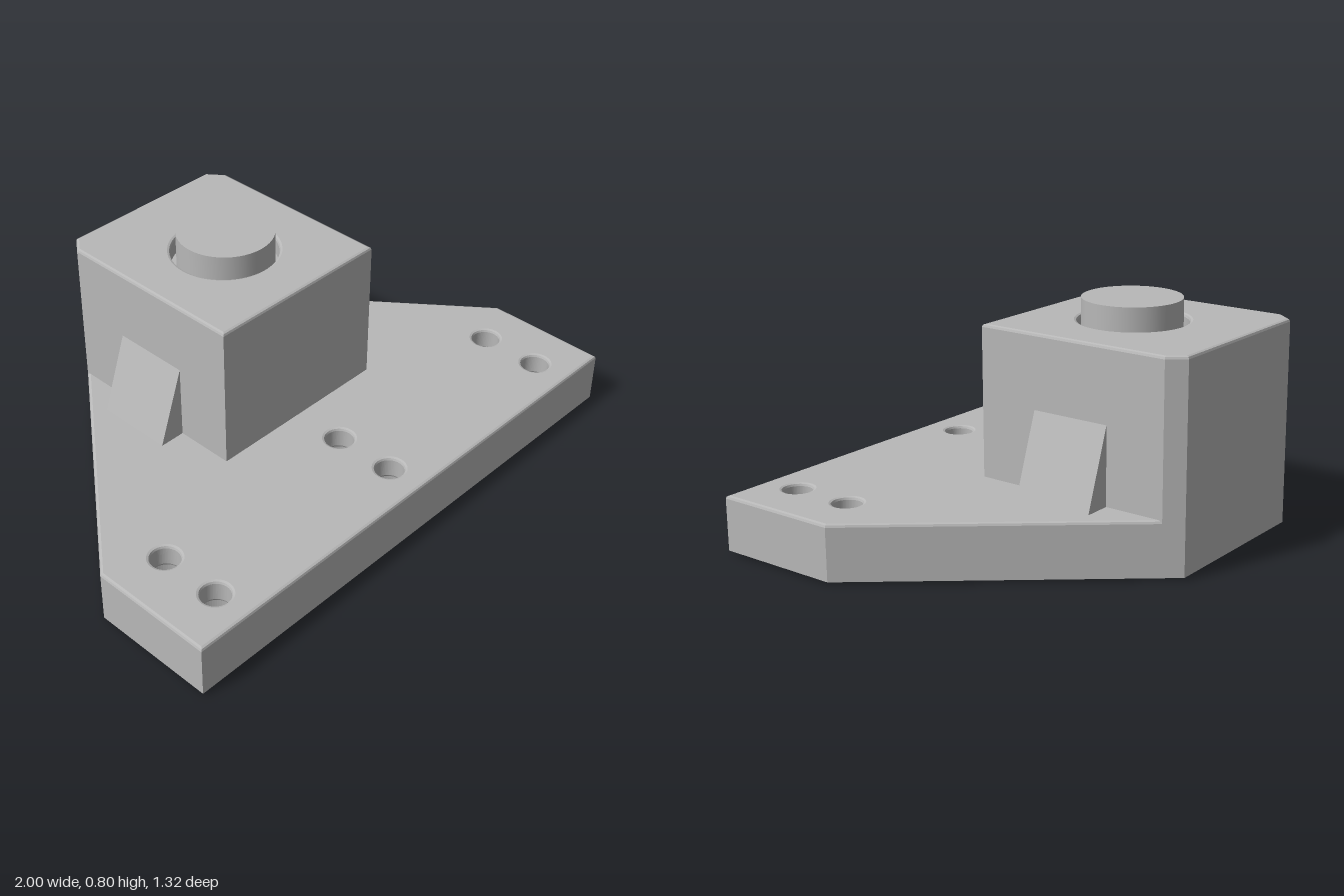
import * as THREE from 'three';

const steel = new THREE.MeshStandardMaterial({ color: 0xb8b8b8, side: THREE.DoubleSide });
steel.name = 'grey';

// Outlines as [x, z] for the right half, mirrored to make the full shape
function outline(half) {
  const left = half.map(([x, z]) => [-x, z]).reverse();
  return new THREE.Shape([...half, ...left].map(([x, z]) => new THREE.Vector2(x, -z)));
}

function circleHole(x, z, r) {
  const p = new THREE.Path();
  p.absarc(x, -z, r, 0, Math.PI * 2, true);
  return p;
}

// Upright prism between two heights with optional small bevels
function prism(shape, y0, y1, bevel = 0) {
  const geo = new THREE.ExtrudeGeometry(shape, {
    depth: y1 - y0 - 2 * bevel, curveSegments: 32,
    bevelEnabled: bevel > 0, bevelSize: bevel, bevelThickness: bevel,
    bevelOffset: -bevel, bevelSegments: 2,
  });
  geo.translate(0, 0, bevel);
  geo.rotateX(-Math.PI / 2);
  geo.translate(0, y0, 0);
  return geo;
}

export function createModel() {
  const group = new THREE.Group();
  const add = (name, geo, x = 0, y = 0, z = 0) => {
    const m = new THREE.Mesh(geo, steel);
    m.name = name;
    m.position.set(x, y, z);
    group.add(m);
    return m;
  };

  const plateHalf = [[1, 0.66], [1, 0.21], [0.31, -0.66]];
  const holes = [];
  for (const x of [-0.81, 0, 0.81]) for (const z of [0.3, 0.525]) holes.push([x, z]);

  // Base plate: counterbored lower layer with a square pocket, drilled upper layer
  const lower = outline(plateHalf);
  holes.forEach(([x, z]) => lower.holes.push(circleHole(x, z, 0.08)));
  const c = 0.325, cz = -0.245;
  lower.holes.push(new THREE.Path([[-c, -c], [-c, c], [c, c], [c, -c]]
    .map(([x, y]) => new THREE.Vector2(x, y - cz))));
  add('basePlateLower', prism(lower, 0.01, 0.125));

  const upper = outline(plateHalf);
  holes.forEach(([x, z]) => upper.holes.push(circleHole(x, z, 0.05)));
  add('basePlateUpper', prism(upper, 0.115, 0.2, 0.01));

  // Housing block with chamfered rear corners and a round recess in its top
  const block = outline([[0.355, 0.11], [0.355, -0.603], [0.31, -0.66]]);
  block.holes.push(circleHole(0, -0.245, 0.187));
  add('housing', prism(block, 0.12, 0.725, 0.01));
  const floor = new THREE.CircleGeometry(0.197, 48);
  floor.rotateX(-Math.PI / 2);
  add('recessFloor', floor, 0, 0.66, -0.245);
  add('plunger', new THREE.CylinderGeometry(0.17, 0.17, 0.15, 48), 0, 0.725, -0.24);

  // Sloping side ribs
  for (const s of [1, -1]) {
    const tri = new THREE.Shape([[0.34, 0.19], [0.4535, 0.19], [0.355, 0.47], [0.34, 0.47]]
      .map(([x, y]) => new THREE.Vector2(s * x, y)));
    const rib = new THREE.ExtrudeGeometry(tri, { depth: 0.285, bevelEnabled: false });
    add(s > 0 ? 'leftRib' : 'rightRib', rib, 0, 0, -0.39);
  }

  // Tapered pocket walls under the housing
  const r2 = Math.SQRT2;
  let taper = new THREE.CylinderGeometry(0.21 * r2, c * r2, 0.09, 4, 1, true);
  taper.rotateY(Math.PI / 4);
  taper = taper.toNonIndexed();
  taper.computeVertexNormals();
  add('pocketWalls', taper, 0, 0.055, cz);
  add('pocketPanel', new THREE.BoxGeometry(0.43, 0.02, 0.43), 0, 0.11, cz);
  add('pocketCover', new THREE.BoxGeometry(0.38, 0.008, 0.38), 0, 0.097, cz);

  // Hollow pin reaching down through the pocket
  const pin = [[0.045, 0.06], [0.045, 0], [0.067, 0], [0.067, 0.1]];
  const segments = pin.slice(1).map((p, i) => [pin[i], p]);
  segments.forEach((seg) => add('pin', new THREE.LatheGeometry(
    seg.map(([r, y]) => new THREE.Vector2(r, y)), 32), 0, 0, -0.28));
  const pinEnd = new THREE.CircleGeometry(0.045, 32);
  pinEnd.rotateX(Math.PI / 2);
  add('pinBore', pinEnd, 0, 0.06, -0.28);

  // Small screws holding the cover
  for (const x of [-0.15, 0.15]) for (const z of [-0.395, -0.095])
    add('coverScrew', new THREE.CylinderGeometry(0.025, 0.025, 0.02, 16), x, 0.088, z);

  return group;
}
